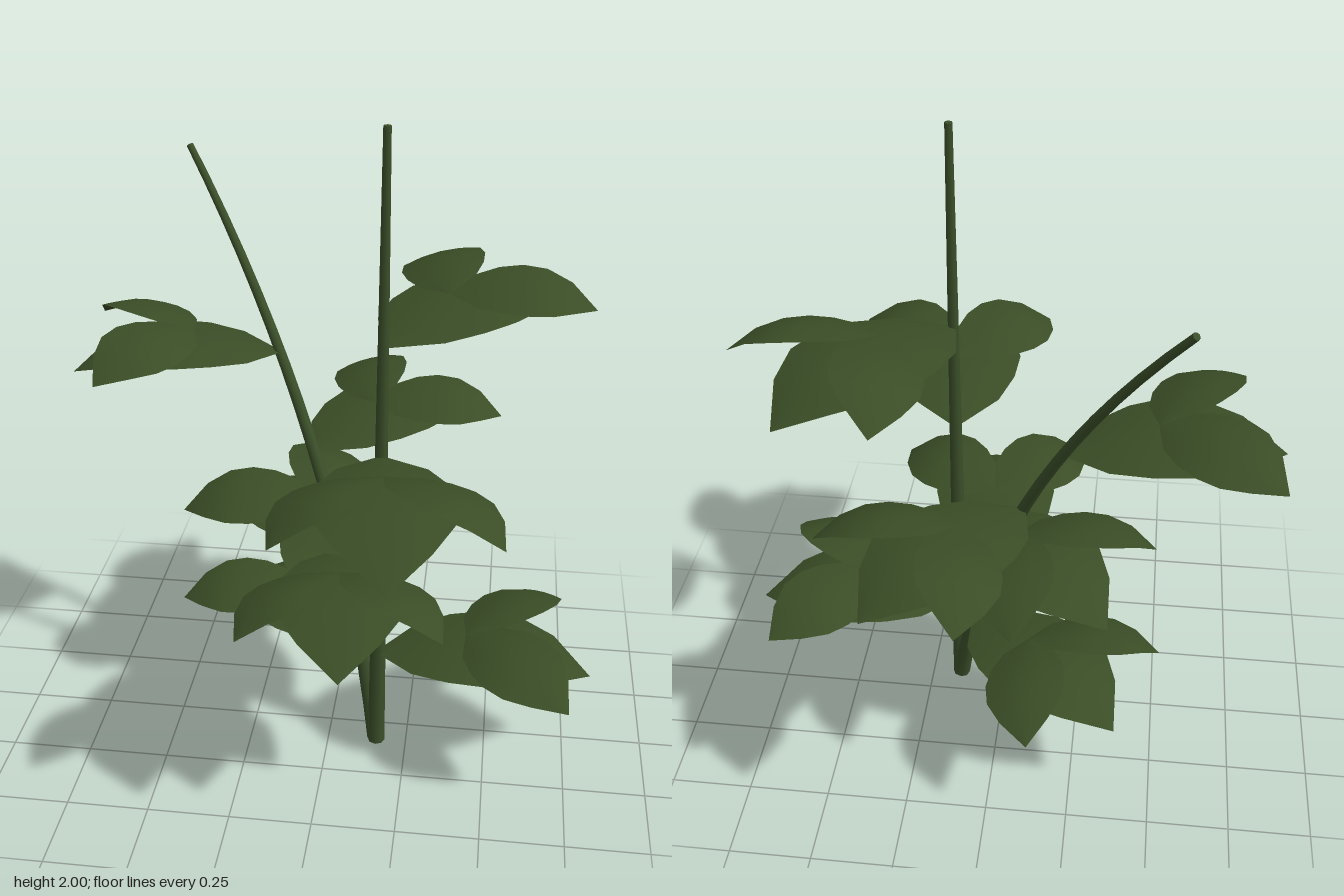
import * as THREE from 'three';

const leafMat = new THREE.MeshStandardMaterial({ color: 0x3a4d26, side: THREE.DoubleSide });
leafMat.name = 'leaf green';
const stemMat = new THREE.MeshStandardMaterial({ color: 0x3b4f29 });
stemMat.name = 'stem green';

const WIDTHS = [0.05, 0.65, 0.9, 1, 0.93, 0.6, 0]; // half-width along the blade

// Arched blade along +x with drooping edges and a falling tip
function leafGeometry(length, halfWidth, rise, fall) {
  const segments = WIDTHS.length - 1;
  const geo = new THREE.PlaneGeometry(1, 1, segments, 4).rotateX(-Math.PI / 2);
  const pos = geo.attributes.position;
  for (let i = 0; i < pos.count; i++) {
    const u = pos.getX(i) + 0.5;
    const w = pos.getZ(i) * 2 * halfWidth * WIDTHS[Math.round(u * segments)];
    const arch = length * (rise * u - fall * u ** 3);
    pos.setXYZ(i, u * length, arch - 0.16 * w * w / halfWidth, w);
  }
  geo.computeVertexNormals();
  return geo;
}

const mainLeaf = leafGeometry(0.66, 0.2, 0.31, 0.38);
const sideLeaf = leafGeometry(0.425, 0.128, 0.27, 0.39);

// One large leaf with a smaller one on either side, banked outward
function leafCluster(point, degrees, scale) {
  const group = new THREE.Group();
  group.name = 'leafCluster';
  const main = new THREE.Mesh(mainLeaf, leafMat);
  main.name = 'mainLeaf';
  group.add(main);
  for (const side of [-1, 1]) {
    const leaf = new THREE.Mesh(sideLeaf, leafMat);
    leaf.name = side > 0 ? 'leftSideLeaf' : 'rightSideLeaf';
    leaf.position.set(0.275, 0.086, 0);
    leaf.rotation.order = 'YXZ';
    leaf.rotation.y = side * THREE.MathUtils.degToRad(47);
    leaf.rotation.x = -side * THREE.MathUtils.degToRad(14);
    group.add(leaf);
  }
  group.position.copy(point);
  group.rotation.y = THREE.MathUtils.degToRad(degrees);
  group.scale.setScalar(scale);
  return group;
}

// Tapered tube along a curve, closed at both ends
function stem(curve, name) {
  const group = new THREE.Group();
  group.name = name;
  const rows = 16, sides = 8, bottom = 0.027, top = 0.011;
  const geo = new THREE.TubeGeometry(curve, rows, 1, sides);
  const pos = geo.attributes.position, nor = geo.attributes.normal;
  for (let i = 0; i < pos.count; i++) {
    const u = Math.floor(i / (sides + 1)) / rows;
    const inset = 1 - THREE.MathUtils.lerp(bottom, top, u);
    pos.setXYZ(i,
      pos.getX(i) - nor.getX(i) * inset,
      pos.getY(i) - nor.getY(i) * inset,
      pos.getZ(i) - nor.getZ(i) * inset);
  }
  const tube = new THREE.Mesh(geo, stemMat);
  tube.name = 'stemTube';
  group.add(tube);
  for (const [u, radius, sign] of [[0, bottom, -1], [1, top, 1]]) {
    const cap = new THREE.Mesh(new THREE.CircleGeometry(radius, sides), stemMat);
    cap.name = 'stemEnd';
    const p = curve.getPoint(u);
    cap.position.copy(p);
    cap.lookAt(p.clone().addScaledVector(curve.getTangent(u), sign));
    group.add(cap);
  }
  return group;
}

export function createModel() {
  const model = new THREE.Group();
  model.name = 'plant';

  const V = (x, y, z) => new THREE.Vector3(x, y, z);
  const upright = new THREE.LineCurve3(V(0.155, 0, 0.085), V(0.155, 2, 0.085));
  const leaning = new THREE.QuadraticBezierCurve3(
    V(0.153, 0.005, 0.083), V(0.017, 0.98, -0.085), V(-0.51, 1.76, -0.53));
  model.add(stem(upright, 'uprightStem'), stem(leaning, 'leaningStem'));

  // Clusters spiral up each stem by about the golden angle
  [1.5, 139, 276.5, 51].forEach((angle, i) =>
    model.add(leafCluster(upright.getPoint(0.1725 * (i + 1)), angle, 1)));
  [139, 276, 51, 192].forEach((angle, i) =>
    model.add(leafCluster(leaning.getPoint(0.164 * (i + 1)), angle, 0.96)));

  return model;
}
